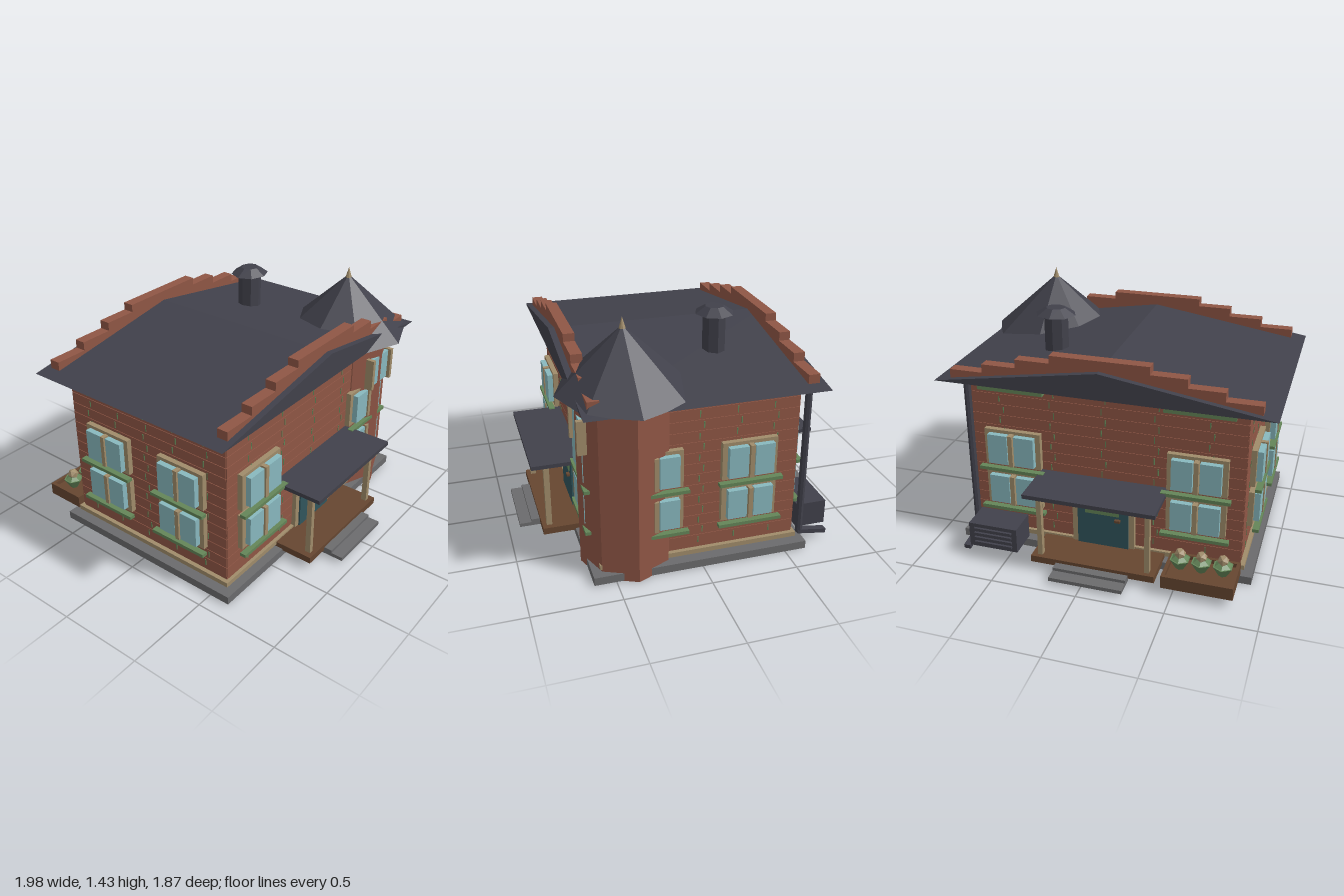
import * as THREE from 'three';

const mat = (name, color) => Object.assign(new THREE.MeshStandardMaterial({ color, flatShading: true }), { name });
const M = {
  brick: mat('brick red', 0x8f5645),
  roof: mat('slate', 0x41414b),
  stone: mat('grey stone', 0x6b6b6d),
  trim: mat('tan trim', 0xa08c6a),
  green: mat('sage green', 0x648558),
  glass: mat('window glass', 0x88b8be),
  door: mat('teal paint', 0x31555c),
  wood: mat('brown wood', 0x664630),
};
const CX = -0.03; // centre line of the main block

export function createModel() {
  const house = new THREE.Group();
  house.name = 'house';

  const add = (parent, name, geo, material) => {
    const m = new THREE.Mesh(geo, material);
    m.name = name;
    parent.add(m);
    return m;
  };
  // Box given by its two corners
  const box = (parent, name, material, x0, x1, y0, y1, z0, z1) => {
    const m = add(parent, name, new THREE.BoxGeometry(x1 - x0, y1 - y0, z1 - z0), material);
    m.position.set((x0 + x1) / 2, (y0 + y1) / 2, (z0 + z1) / 2);
    return m;
  };
  // Eight-sided round part, slightly wider in x than in z
  const octagon = (parent, name, material, rTop, rBottom, y0, y1, x, z) => {
    const m = add(parent, name, new THREE.CylinderGeometry(rTop, rBottom, y1 - y0, 8), material);
    m.scale.x = 1.09;
    m.position.set(x, (y0 + y1) / 2, z);
    return m;
  };
  const group = (parent, name, x, z, turn) => {
    const g = new THREE.Group();
    g.name = name;
    g.position.set(x, 0, z);
    g.rotation.y = turn;
    parent.add(g);
    return g;
  };
  const extrude = (points, depth) => new THREE.ExtrudeGeometry(
    new THREE.Shape(points.map(([x, y]) => new THREE.Vector2(x, y))), { depth, bevelEnabled: false });

  // Foundation, walls and trim band
  box(house, 'foundation', M.stone, -0.905, 0.845, 0.002, 0.05, -0.625, 0.625);
  box(house, 'walls', M.brick, -0.83, 0.77, 0.06, 1.036, -0.56, 0.56);
  box(house, 'baseTrim', M.trim, -0.855, 0.795, 0.062, 0.09, -0.58, 0.58);

  // Low gabled roof
  const roof = add(house, 'mainRoof', extrude([[-0.96, 1.035], [0.96, 1.035], [0, 1.187]], 1.33), M.roof);
  roof.position.set(CX, 0, -0.665);

  // Stepped parapets over both gables
  const half = [[0.875, 1.04], [0.875, 1.1], [0.68, 1.1], [0.68, 1.15], [0.48, 1.15], [0.48, 1.2], [0.28, 1.2], [0.28, 1.245]];
  const steps = [...half, ...half.map(([x, y]) => [-x, y]).reverse()];
  for (const z of [0.565, -0.63]) {
    add(house, 'steppedParapet', extrude(steps, 0.065), M.brick).position.set(CX, 0, z);
  }

  // Two-storey window column, built outwards from the wall along +z
  const windowColumn = (wall, x, w) => {
    const g = group(wall, 'windowColumn', x, 0, 0);
    const h = w / 2;
    for (const [y0, y1] of [[0.258, 0.477], [0.515, 0.74]]) {
      box(g, 'windowFrame', M.trim, -h, h, y0, y1, 0, 0.035);
      box(g, 'mullion', M.trim, -h * 0.08, h * 0.08, y0 + 0.015, y1 - 0.015, 0.03, 0.074);
      for (const s of [-1, 1]) {
        const a = s * h * 0.12, b = s * h * 0.82;
        box(g, 'windowPane', M.glass, Math.min(a, b), Math.max(a, b), y0 + 0.022, y1 - 0.02, 0.035, 0.068);
      }
      box(g, 'windowSill', M.green, -h * 1.15, h * 1.15, y0 - 0.022, y0 - 0.002, 0.04, 0.076);
    }
    box(g, 'lintel', M.green, -h * 1.15, h * 1.15, 0.98, 1.004, 0, 0.035);
  };
  // Brick seams and mortar dashes on one wall
  const brickwork = (wall, width) => {
    for (let i = 0; i < 14; i++) {
      const y = 0.11 + i * 0.065;
      box(wall, 'brickCourse', M.brick, -width / 2, width / 2, y, y + 0.061, 0, 0.004);
      for (let j = 0; j < 5; j++) {
        const x = (j - 2) * width * 0.19 + (i % 2 ? 0.012 : -0.012);
        box(wall, 'mortarDash', M.green, x - 0.003, x + 0.003, y + 0.012, y + 0.05, 0.002, 0.007);
      }
    }
  };
  const walls = [
    ['frontWall', CX, 0.56, 0, 1.6, 0.54, 0.34],
    ['backWall', CX, -0.56, Math.PI, 1.6, 0.54, 0.34],
    ['leftWall', 0.77, 0, Math.PI / 2, 1.12, 0.27, 0.32],
    ['rightWall', -0.83, 0, -Math.PI / 2, 1.12, 0.27, 0.32],
  ];
  for (const [name, x, z, turn, width, offset, w] of walls) {
    const wall = group(house, name, x, z, turn);
    brickwork(wall, width);
    for (const s of [-1, 1]) windowColumn(wall, s * offset, w);
  }

  // Entrance with door, deck, steps and canopy, front and back
  for (const s of [1, -1]) {
    const p = group(house, s > 0 ? 'frontPorch' : 'backPorch', CX, 0, s > 0 ? 0 : Math.PI);
    box(p, 'doorFrame', M.trim, -0.186, 0.186, 0.08, 0.467, 0.56, 0.59);
    box(p, 'door', M.door, -0.152, 0.152, 0.08, 0.445, 0.58, 0.6);
    box(p, 'doorPanel', M.green, -0.103, 0.1, 0.29, 0.377, 0.6, 0.606);
    box(p, 'doorHandle', M.wood, 0.075, 0.108, 0.258, 0.272, 0.6, 0.62);
    box(p, 'deck', M.wood, -0.364, 0.364, 0.04, 0.08, 0.56, 0.815);
    box(p, 'upperStep', M.stone, -0.213, 0.213, 0.036, 0.06, 0.78, 0.865);
    box(p, 'lowerStep', M.stone, -0.213, 0.213, 0.02, 0.042, 0.8, 0.935);
    for (const x of [-0.315, 0.315]) box(p, 'porchPost', M.trim, x - 0.014, x + 0.014, 0.08, 0.486, 0.757, 0.79);
    box(p, 'canopy', M.roof, -0.378, 0.378, 0.484, 0.508, 0.56, 0.865);
  }

  // Corner tower with pointed roof and finial
  const TX = 0.588, TZ = 0.38;
  octagon(house, 'tower', M.brick, 0.268, 0.268, 0, 1.037, TX, TZ);
  octagon(house, 'towerRoof', M.roof, 0, 0.372, 1.035, 1.39, TX, TZ);
  octagon(house, 'finial', M.trim, 0, 0.02, 1.367, 1.435, TX, TZ);
  for (const s of [-1, 1]) {
    box(house, 'towerPane', M.glass, TX + s * 0.053 - 0.045, TX + s * 0.053 + 0.045, 0.742, 0.925, 0.615, 0.642);
    box(house, 'towerWindowFrame', M.trim, TX + s * 0.107 - 0.013, TX + s * 0.107 + 0.013, 0.735, 0.932, 0.61, 0.662);
  }

  // Roof vent
  octagon(house, 'ventPipe', M.roof, 0.068, 0.068, 1.08, 1.34, 0.37, -0.2);
  octagon(house, 'ventCap', M.roof, 0.052, 0.11, 1.33, 1.37, 0.37, -0.2);

  // Drainpipe with kicked-out foot
  const pipe = add(house, 'drainpipe', new THREE.CylinderGeometry(0.021, 0.021, 0.98, 8), M.roof);
  pipe.position.set(0.75, 0.55, -0.622);
  const foot = box(house, 'drainpipeFoot', M.roof, -0.02, 0.02, -0.013, 0.013, -0.09, 0.09);
  foot.position.set(0.75, 0.055, -0.7);
  foot.rotation.x = -0.15;

  // Cooling unit with slats
  box(house, 'coolingUnit', M.roof, 0.425, 0.72, 0.07, 0.22, -0.8, -0.62);
  for (let i = 0; i < 4; i++) {
    box(house, 'coolingSlat', M.roof, 0.455, 0.685, 0.095 + i * 0.03, 0.108 + i * 0.03, -0.815, -0.8);
  }

  // Planter with three potted plants
  const planter = group(house, 'planter', -0.64, -0.73, 0);
  box(planter, 'planterSoil', M.wood, -0.19, 0.19, 0.055, 0.1, -0.115, 0.115);
  for (const s of [-1, 1]) {
    box(planter, 'planterLongSide', M.wood, -0.2, 0.2, 0.05, 0.125, s * 0.115 - 0.01, s * 0.115 + 0.01);
    box(planter, 'planterEnd', M.wood, s * 0.19 - 0.01, s * 0.19 + 0.01, 0.05, 0.125, -0.115, 0.115);
  }
  for (const x of [-0.12, 0, 0.12]) {
    const leaves = add(planter, 'plantLeaves', new THREE.CylinderGeometry(0.06, 0.025, 0.06, 6), M.green);
    leaves.position.set(x, 0.145, 0);
    const crown = add(planter, 'plantCrown', new THREE.ConeGeometry(0.052, 0.035, 6), M.green);
    crown.position.set(x, 0.192, 0);
    const bloom = add(planter, 'plantBloom', new THREE.IcosahedronGeometry(0.034, 0), M.trim);
    bloom.position.set(x, 0.207, 0);
  }

  return house;
}
